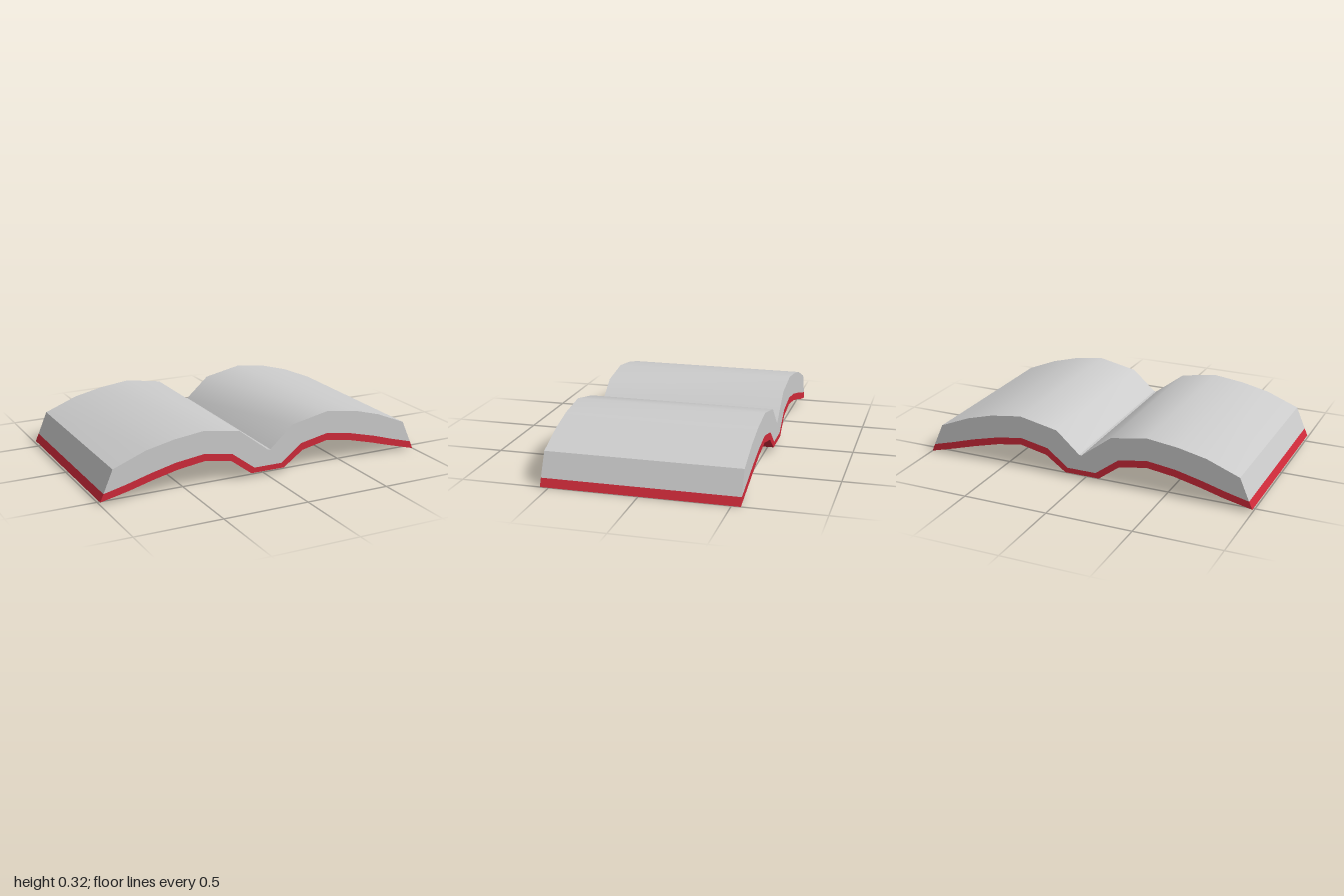
import * as THREE from 'three';
import { toCreasedNormals } from 'three/addons/utils/BufferGeometryUtils.js';

const DEPTH = 1.1;

// Upper face of the pages, left to right along x
const pageTop = [
  [-0.925, 0.19], [-0.735, 0.264], [-0.57, 0.3], [-0.39, 0.322], [-0.175, 0.287], [0.005, 0.15],
  [0.02, 0.15], [0.16, 0.275], [0.39, 0.322], [0.58, 0.296], [0.74, 0.252], [0.92, 0.178],
];
// Where the pages rest on the cover
const coverTop = [
  [-0.98, 0.061], [-0.85, 0.092], [-0.71, 0.131], [-0.56, 0.167], [-0.39, 0.189], [-0.22, 0.161], [-0.08, 0.057],
  [0.095, 0.057], [0.22, 0.155], [0.39, 0.189], [0.55, 0.164], [0.71, 0.124], [0.85, 0.082], [0.98, 0.046],
];
// Underside of the cover
const coverBottom = [
  [-1, 0.017], [-0.84, 0.052], [-0.7, 0.09], [-0.55, 0.125], [-0.39, 0.147], [-0.225, 0.12], [-0.1, 0.027],
  [0.11, 0.027], [0.23, 0.113], [0.39, 0.147], [0.54, 0.124], [0.7, 0.083], [0.84, 0.043], [1, 0],
];

// Solid between a lower and an upper profile, run along z
function slab(name, lower, upper, color) {
  const outline = [...lower, ...[...upper].reverse()].map(([x, y]) => new THREE.Vector2(x, y));
  const extruded = new THREE.ExtrudeGeometry(new THREE.Shape(outline), { depth: DEPTH, bevelEnabled: false });
  extruded.translate(0, 0, -DEPTH / 2);
  const mesh = new THREE.Mesh(toCreasedNormals(extruded, 0.58), new THREE.MeshStandardMaterial({ color }));
  mesh.name = name;
  return mesh;
}

export function createModel() {
  const book = new THREE.Group();
  book.name = 'openBook';
  book.add(slab('pages', coverTop, pageTop, 0xcccccc));
  book.add(slab('cover', coverBottom, coverTop, 0xd02a3a));
  return book;
}
